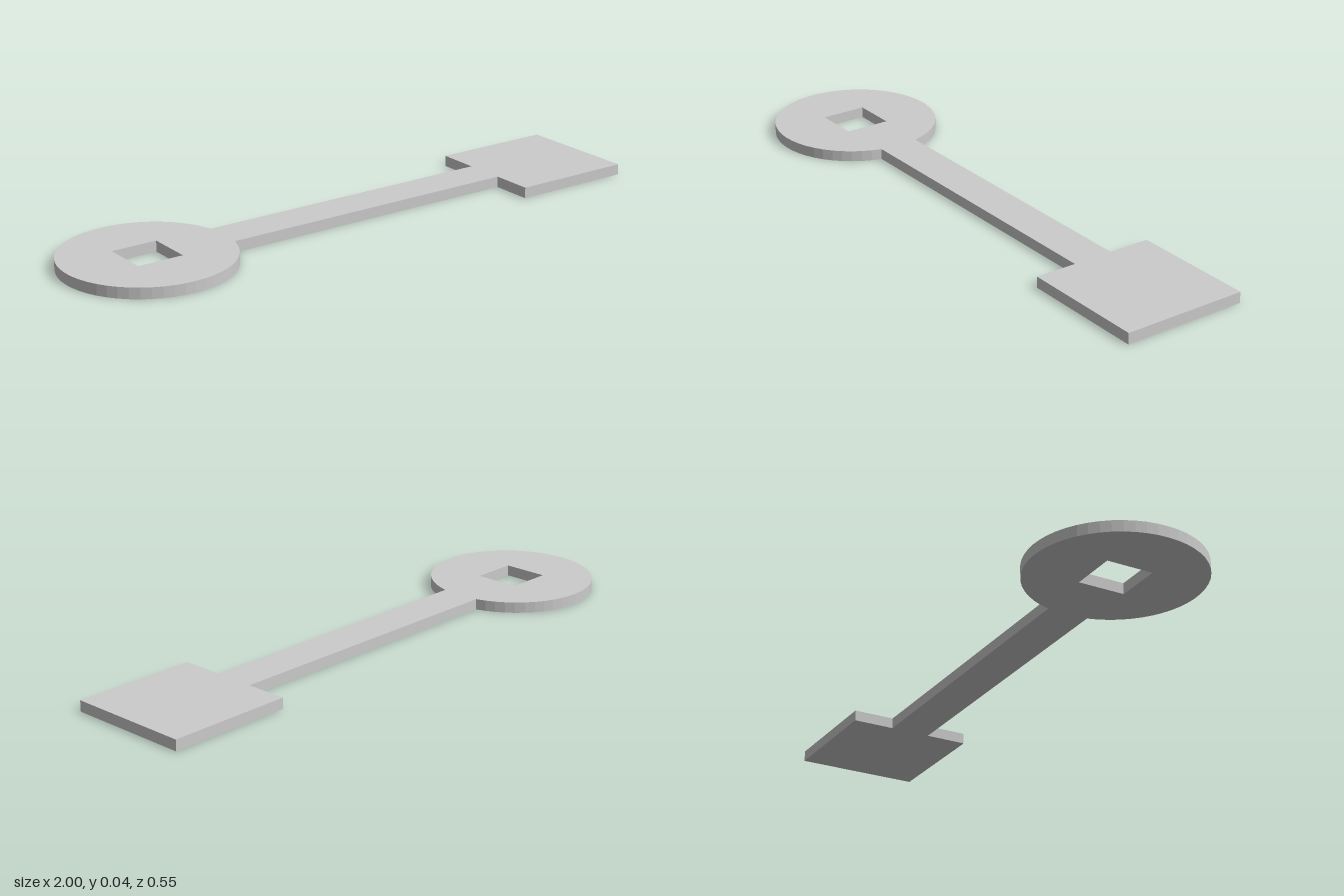
import * as THREE from 'three';

const THICKNESS = 0.036;
const DISC_X = -0.724, DISC_R = 0.276; // round head
const HOLE = 0.077;                    // half side of the square hole
const BAR = 0.068;                     // half width of the shank
const PAD_X = 0.584, PAD = 0.208;      // square end: inner edge, half width

export function createModel() {
  const group = new THREE.Group();
  group.name = 'flatKey';

  // Single outline: disc, shank and square pad
  const a = Math.asin(BAR / DISC_R);
  const outline = new THREE.Shape();
  outline.absarc(DISC_X, 0, DISC_R, a, Math.PI * 2 - a, false);
  outline.lineTo(PAD_X, -BAR);
  outline.lineTo(PAD_X, -PAD);
  outline.lineTo(1, -PAD);
  outline.lineTo(1, PAD);
  outline.lineTo(PAD_X, PAD);
  outline.lineTo(PAD_X, BAR);
  outline.closePath();

  // Square hole through the disc
  const hole = new THREE.Path();
  hole.moveTo(DISC_X - HOLE, -HOLE);
  hole.lineTo(DISC_X - HOLE, HOLE);
  hole.lineTo(DISC_X + HOLE, HOLE);
  hole.lineTo(DISC_X + HOLE, -HOLE);
  hole.closePath();
  outline.holes.push(hole);

  // Extrude and lay flat on the ground
  const geometry = new THREE.ExtrudeGeometry(outline, {
    depth: THICKNESS, bevelEnabled: false, curveSegments: 24,
  });
  geometry.rotateX(-Math.PI / 2);

  const plate = new THREE.Mesh(geometry, new THREE.MeshStandardMaterial({ color: 0xcccccc }));
  plate.name = 'plate';
  group.add(plate);
  return group;
}
